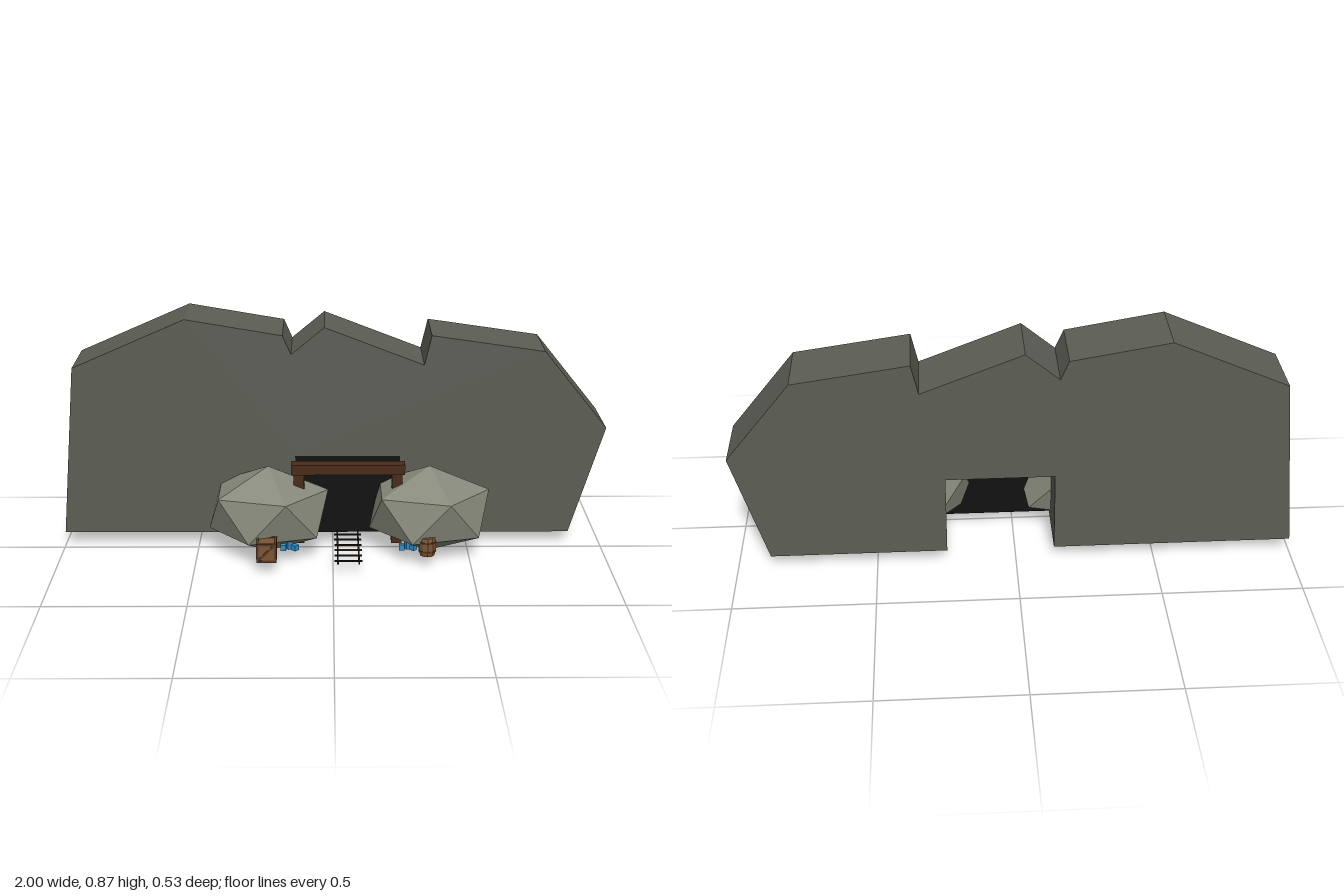
import * as THREE from 'three';
import { ConvexGeometry } from 'three/addons/geometries/ConvexGeometry.js';

const mat = (color) => new THREE.MeshStandardMaterial({ color, flatShading: true });
const MID = 0.055; // centre line of the entrance

export function createModel() {
  const root = new THREE.Group();
  root.name = 'mineEntrance';
  const cliffMat = mat(0x5c5e55), rockMat = mat(0x858879), beamMat = mat(0x4a2b18);
  const crateMat = mat(0x7a5535), trimMat = mat(0x5a3a22), oreMat = mat(0x2f8fc8);
  const ironMat = mat(0x1c1816), darkMat = mat(0x111111);

  const add = (name, geo, material, x, y, z, parent = root) => {
    const m = new THREE.Mesh(geo, material);
    m.name = name;
    m.position.set(x, y, z);
    parent.add(m);
    return m;
  };
  const box = (name, w, h, d, material, x, y, z, parent) =>
    add(name, new THREE.BoxGeometry(w, h, d), material, x, y, z, parent);
  const group = (name, x, y, z) => {
    const g = new THREE.Group();
    g.name = name;
    g.position.set(x, y, z);
    root.add(g);
    return g;
  };

  // Cliff slab with the tunnel notched out of its base
  const outline = [
    [-1, 0.05], [-0.138, 0.05], [-0.138, 0.352], [0.248, 0.352], [0.248, 0.05], [0.88, 0.05],
    [1, 0.46], [0.765, 0.75], [0.355, 0.81], [0.33, 0.7], [-0.03, 0.84],
    [-0.15, 0.74], [-0.18, 0.81], [-0.53, 0.87], [-0.94, 0.69],
  ].map(([x, y]) => new THREE.Vector2(x, y));
  add('cliff', new THREE.ExtrudeGeometry(new THREE.Shape(outline),
    { depth: 0.235, bevelEnabled: false }), cliffMat, 0, 0, -0.265);

  // Dark panel closing the tunnel mouth
  box('tunnelDarkness', 0.386, 0.302, 0.004, darkMat, MID, 0.201, -0.031);

  // Faceted boulders: two poles and two staggered rings of five
  const points = [new THREE.Vector3(0, 0.167, 0), new THREE.Vector3(0, -0.167, 0)];
  for (let i = 0; i < 5; i++) {
    const a = (i * Math.PI * 2) / 5;
    const x = 0.219 * Math.cos(a), z = 0.174 * Math.sin(a);
    points.push(new THREE.Vector3(x, 0.075, z), new THREE.Vector3(-x, -0.075, -z));
  }
  const boulder = new ConvexGeometry(points);
  add('rightBoulder', boulder, rockMat, -0.236, 0.169, 0.03);
  add('leftBoulder', boulder, rockMat, 0.353, 0.169, 0.03);

  // Timber frame
  box('lintel', 0.412, 0.038, 0.046, beamMat, MID, 0.339, 0.06);
  for (const s of [-1, 1]) {
    box('post', 0.038, 0.272, 0.036, beamMat, MID + s * 0.178, 0.186, 0.058);
  }

  // Track
  for (const s of [-1, 1]) {
    box('rail', 0.006, 0.005, 0.295, ironMat, MID + s * 0.038, 0.052, 0.1175);
  }
  for (let i = 0; i < 6; i++) {
    box('sleeper', 0.1, 0.004, 0.009, i === 3 ? trimMat : ironMat, MID, 0.049, -0.005 + i * 0.0475);
  }

  // Crate with edge trim and a diagonal brace on each side
  const crate = group('crate', -0.238, 0.085, 0.211);
  box('crateBody', 0.064, 0.064, 0.064, crateMat, 0, 0, 0, crate);
  for (const a of [-1, 1]) for (const b of [-1, 1]) {
    box('crateEdge', 0.072, 0.008, 0.008, trimMat, 0, a * 0.032, b * 0.032, crate);
    box('crateEdge', 0.008, 0.072, 0.008, trimMat, a * 0.032, 0, b * 0.032, crate);
    box('crateEdge', 0.008, 0.008, 0.072, trimMat, a * 0.032, b * 0.032, 0, crate);
  }
  for (let i = 0; i < 4; i++) {
    const side = new THREE.Group();
    side.name = 'crateSide';
    side.rotation.y = (i * Math.PI) / 2;
    box('crateBrace', 0.083, 0.008, 0.004, trimMat, 0, 0, 0.033, side).rotation.z = Math.PI / 4;
    crate.add(side);
  }

  // Barrel with two hoops
  const barrel = group('barrel', 0.34, 0.083, 0.173);
  const profile = [[0, -0.035], [0.027, -0.035], [0.032, -0.012], [0.032, 0.012], [0.027, 0.035], [0, 0.035]];
  add('barrelBody', new THREE.LatheGeometry(profile.map(([r, y]) => new THREE.Vector2(r, y)), 10),
    crateMat, 0, 0, 0, barrel);
  for (const s of [-1, 1]) {
    add('barrelHoop', new THREE.CylinderGeometry(0.0325, 0.0325, 0.006, 10), trimMat, 0, s * 0.017, 0, barrel);
  }

  // Blue ore chunks either side of the track
  for (const s of [-1, 1]) {
    const ore = group('oreCluster', MID + s * 0.215, 0.05, 0.13);
    [[-0.02, 0.022, 0.005], [0.002, 0.03, -0.006], [0.022, 0.02, 0.006]].forEach(([x, h, z], i) => {
      box('oreChunk', 0.02, h, 0.02, oreMat, x, h / 2, z, ore).rotation.y = 0.4 * i;
    });
  }
  return root;
}
